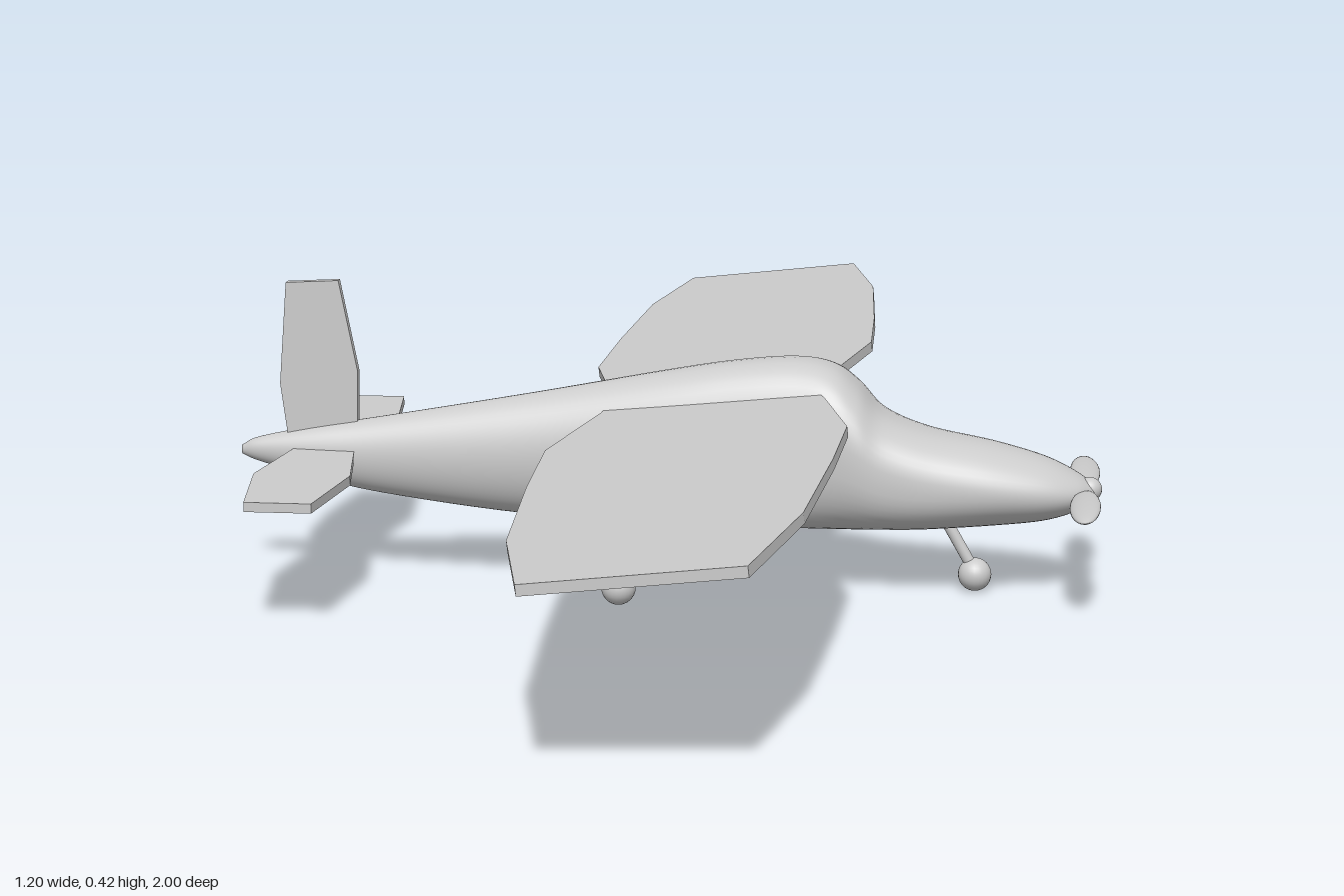
import * as THREE from 'three';

const material = new THREE.MeshStandardMaterial({ color: 0xcccccc });

function part(name, geometry) {
  const mesh = new THREE.Mesh(geometry, material);
  mesh.name = name;
  return mesh;
}

// round bar between two points
function rod(name, a, b, radius) {
  const path = new THREE.LineCurve3(new THREE.Vector3(...a), new THREE.Vector3(...b));
  const mesh = part(name, new THREE.CylinderGeometry(radius, radius, path.getLength(), 16));
  mesh.position.copy(path.getPoint(0.5));
  mesh.quaternion.setFromUnitVectors(new THREE.Vector3(0, 1, 0), path.getTangent(0.5));
  return mesh;
}

function ball(name, p, radius) {
  const mesh = part(name, new THREE.SphereGeometry(radius, 24, 16));
  mesh.position.set(...p);
  return mesh;
}

// flat plate from an outline, centred on its own thickness
function plate(outline, thickness) {
  const shape = new THREE.Shape(outline.map(([x, y]) => new THREE.Vector2(x, y)));
  return new THREE.ExtrudeGeometry(shape, { depth: thickness, bevelEnabled: false })
    .translate(0, 0, -thickness / 2);
}

// horizontal plate mirrored across the centre line; outline is [x, z]
function span(half, thickness) {
  const mirrored = half.map(([x, z]) => [x, -z]).reverse();
  return plate([...half, ...mirrored], thickness).rotateX(Math.PI / 2);
}

// fuselage stations: x, top, bottom, half width
const stations = [
  [-0.6, 0.18, 0.167, 0.005], [-0.575, 0.192, 0.157, 0.014], [-0.5, 0.208, 0.137, 0.026],
  [-0.4, 0.225, 0.116, 0.036], [-0.2, 0.261, 0.092, 0.053], [0, 0.299, 0.084, 0.068],
  [0.1, 0.315, 0.083, 0.073], [0.18, 0.321, 0.083, 0.079], [0.23, 0.312, 0.084, 0.09],
  [0.265, 0.287, 0.085, 0.095], [0.3, 0.25, 0.086, 0.094], [0.36, 0.225, 0.088, 0.092],
  [0.45, 0.208, 0.094, 0.084], [0.52, 0.189, 0.102, 0.068], [0.565, 0.168, 0.116, 0.045],
  [0.59, 0.15, 0.135, 0.015],
];

function fuselageGeometry() {
  const heights = new THREE.CatmullRomCurve3(
    stations.map(([x, t, b]) => new THREE.Vector3(x, t, b)), false, 'catmullrom');
  const widths = new THREE.CatmullRomCurve3(
    stations.map(([x, , , w]) => new THREE.Vector3(x, w, 0)), false, 'catmullrom');
  const rows = 90, sides = 48, positions = [], index = [];
  for (let i = -1; i <= rows + 1; i++) {
    const t = THREE.MathUtils.clamp(i / rows, 0, 1);
    const closed = i < 0 || i > rows ? 0 : 1; // end rings shrink to a point
    const p = heights.getPoint(t), w = widths.getPoint(t).y * closed;
    const mid = (p.y + p.z) / 2, h = (p.y - p.z) / 2 * closed;
    // squarer section around the cabin
    const power = 1 - 0.2 * THREE.MathUtils.smoothstep(p.x, -0.2, 0.2)
      * (1 - THREE.MathUtils.smoothstep(p.x, 0.3, 0.5));
    const bulge = (v) => Math.sign(v) * Math.abs(v) ** power;
    for (let j = 0; j < sides; j++) {
      const a = (j / sides) * Math.PI * 2;
      positions.push(p.x, mid + h * bulge(Math.sin(a)), w * bulge(Math.cos(a)));
    }
  }
  for (let i = 0; i < rows + 2; i++) {
    for (let j = 0; j < sides; j++) {
      const k = (j + 1) % sides;
      const a = i * sides + j, b = a + sides, c = i * sides + k, d = c + sides;
      index.push(a, b, c, b, d, c);
    }
  }
  const geometry = new THREE.BufferGeometry();
  geometry.setAttribute('position', new THREE.Float32BufferAttribute(positions, 3));
  geometry.setIndex(index);
  geometry.computeVertexNormals();
  return geometry;
}

export function createModel() {
  const plane = new THREE.Group();
  plane.name = 'lightAeroplane';

  plane.add(part('fuselage', fuselageGeometry()));

  // main wing, tilted with its leading edge up
  const wing = part('wing', span([
    [0.2, 0], [0.225, 0.09], [0.268, 0.29], [0.262, 0.48], [0.245, 0.76], [0.2, 1],
    [-0.065, 1], [-0.108, 0.78], [-0.125, 0.5], [-0.132, 0.28], [-0.085, 0.06], [-0.08, 0],
  ].map(([x, z]) => [x - 0.07, z]), 0.014));
  wing.position.set(0.07, 0.26, 0);
  wing.rotation.z = 0.11;
  plane.add(wing);

  // tail surfaces
  const tailplane = part('tailplane', span([
    [-0.44, 0], [-0.412, 0.18], [-0.432, 0.347], [-0.522, 0.347], [-0.545, 0.18], [-0.52, 0],
  ], 0.013));
  tailplane.position.y = 0.174;
  plane.add(tailplane);
  plane.add(part('fin', plate([
    [-0.53, 0.17], [-0.435, 0.17], [-0.433, 0.29], [-0.458, 0.417], [-0.532, 0.413], [-0.543, 0.27],
  ], 0.013)));

  // wing struts and main landing gear on both sides
  for (const [side, s] of [['left', 1], ['right', -1]]) {
    plane.add(rod(side + 'WingStrut', [0.095, 0.145, s * 0.065], [0.095, 0.257, s * 0.215], 0.009));
    plane.add(rod(side + 'GearLeg', [-0.04, 0.16, s * 0.055], [-0.04, 0.05, s * 0.235], 0.008));
    plane.add(ball(side + 'Wheel', [-0.04, 0.05, s * 0.237], 0.023));
  }

  // nose gear
  plane.add(rod('noseGearLeg', [0.375, 0.12, 0.01], [0.428, 0.027, 0.01], 0.008));
  plane.add(ball('noseWheel', [0.428, 0.023, 0.01], 0.023));

  // propeller with two flattened blades
  const propeller = new THREE.Group();
  propeller.name = 'propeller';
  propeller.position.set(0.577, 0.145, 0);
  for (const s of [1, -1]) {
    const blade = ball('blade', [0, 0, s * 0.108], 1);
    blade.scale.set(0.021, 0.008, 0.094);
    blade.rotation.z = s * 0.1;
    propeller.add(blade);
  }
  propeller.add(ball('hub', [0.006, 0, 0], 0.017));
  plane.add(propeller);

  return plane;
}
